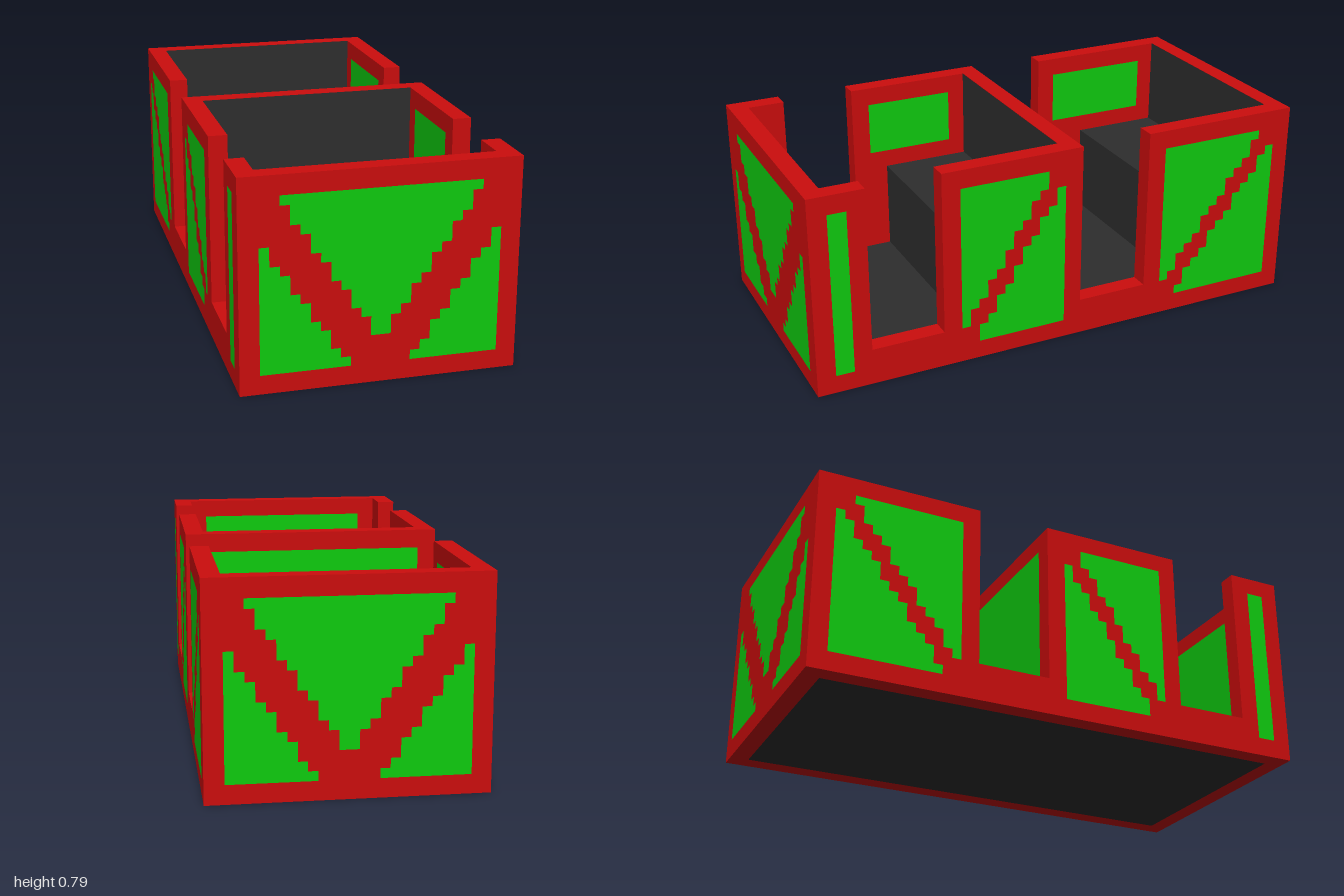
import * as THREE from 'three';

const H = 1 / 28; // half of one wall thickness; all sizes below are counted in it
const SKIN = 0.002; // how far painted faces sit off the wall

export function createModel() {
  const mat = (name, color) => {
    const m = new THREE.MeshStandardMaterial({ color });
    m.name = name;
    return m;
  };
  const red = mat('red frame', 0xcc0d0d);
  const green = mat('green panel', 0x0fcc0f);
  const dark = mat('dark lining', 0x2e2e2e);

  const cart = new THREE.Group();
  cart.name = 'openCart';

  const add = (name, geometry, material) => {
    const mesh = new THREE.Mesh(geometry, material);
    mesh.name = name;
    cart.add(mesh);
    return mesh;
  };

  const box = (name, x0, x1, y0, y1, z0, z1, material) => {
    const g = new THREE.BoxGeometry((x1 - x0) * H, (y1 - y0) * H, (z1 - z0) * H);
    g.translate(((x0 + x1) / 2) * H, ((y0 + y1) / 2) * H, ((z0 + z1) / 2) * H);
    return add(name, g, material);
  };

  const shapeOf = (pts) => new THREE.Shape(pts.map(([a, b]) => new THREE.Vector2(a * H, b * H)));

  // Flat painted face. Points are [x or z, y]; 'at' is the wall plane, 'dir' its outward axis.
  const face = (name, pts, dir, at, material) => {
    const flip = dir === '-z' || dir === '+x' ? -1 : 1;
    const g = new THREE.ShapeGeometry(shapeOf(pts.map(([a, b]) => [a * flip, b])));
    const turn = { '+z': 0, '-z': Math.PI, '+x': Math.PI / 2, '-x': -Math.PI / 2 }[dir];
    g.rotateY(turn);
    const d = (at * H) + (dir[0] === '+' ? SKIN : -SKIN);
    if (dir[1] === 'z') g.translate(0, 0, d);
    else g.translate(d, 0, 0);
    return add(name, g, material);
  };

  const rect = (a0, a1, b0, b1) => [[a0, b0], [a1, b0], [a1, b1], [a0, b1]];

  // Stepped edge going down from (s0, y0) to (s1, y1), one column at a time
  const stairs = (s0, y0, s1, y1) => {
    const n = Math.abs(s1 - s0) + 1;
    const step = Math.sign(s1 - s0);
    const level = (i) => Math.max(2, Math.round(y0 + ((y1 - y0) * i) / n));
    const pts = [];
    for (let i = 0; i < n; i++) {
      pts.push([s0 + step * i, level(i)], [s0 + step * i, level(i + 1)]);
    }
    return pts;
  };
  const mirror = (pts) => pts.map(([a, b]) => [-a, b]);

  // End walls, divider, floor and seats
  box('frontWall', -14, 14, 0, 22, 26, 28, red);
  box('backWall', -14, 14, 0, 22, -28, -26, red);
  box('divider', -12, 12, 2, 22, -2, 0, red);
  box('floor', -12, 12, 0, 2, -26, 26, dark);
  box('rearSeat', -12, 12, 2, 12, -26, -16, dark);
  box('frontSeat', -12, 12, 2, 12, 0, 10, dark);

  // Side walls with two door openings each
  const outline = [
    [-26, 0], [26, 0], [26, 22], [22, 22], [22, 4], [14, 4], [14, 22],
    [-2, 22], [-2, 4], [-10, 4], [-10, 22], [-26, 22],
  ];
  for (const side of [-1, 1]) {
    const g = new THREE.ExtrudeGeometry(shapeOf(mirror(outline)), { depth: 2 * H, bevelEnabled: false });
    g.rotateY(Math.PI / 2);
    g.translate((side > 0 ? 12 : -14) * H, 0, 0);
    add('sideWall', g, red);
  }

  // Green panels around the V brace on both end walls
  const vEdge = stairs(-10, 20, -1, 5);
  const vCentre = [...vEdge, ...mirror(vEdge).reverse()];
  const vCorner = [[-12, 2], [-12, 15], ...stairs(-11, 14.5, -3, 1)];
  for (const [dir, at] of [['+z', 28], ['-z', -28]]) {
    face('endPanelCentre', vCentre, dir, at, green);
    face('endPanelCorner', vCorner, dir, at, green);
    face('endPanelCorner', mirror(vCorner), dir, at, green);
  }

  // Green panels on the sides, outside and inside
  const sidePanels = [
    rect(24, 26, 2, 20),
    [[12, 20], ...stairs(2, 20, 11, 4), [12, 4]],
    [[0, 2], [0, 18], ...stairs(1, 18, 10, 2)],
    [[-12, 20], ...stairs(-24, 20, -13, 4), [-12, 4]],
    [[-26, 2], [-26, 18], ...stairs(-25, 18, -14, 2)],
  ];
  const innerPanels = [rect(2, 12, 14, 20), rect(-24, -12, 14, 20)];
  for (const side of [-1, 1]) {
    const out = side > 0 ? '+x' : '-x';
    const inward = side > 0 ? '-x' : '+x';
    for (const p of sidePanels) face('sidePanel', p, out, 14 * side, green);
    for (const p of innerPanels) face('innerSidePanel', p, inward, 12 * side, green);
  }

  // Green panels facing the seats, and dark backrests behind them
  face('frontWallInnerPanel', rect(-10, 10, 4, 20), '-z', 26, green);
  face('dividerRearPanel', rect(-12, 12, 4, 20), '-z', -2, green);
  face('frontBackrest', rect(-12, 12, 12, 22), '+z', 0, dark);
  face('rearBackrest', rect(-12, 12, 12, 22), '+z', -26, dark);

  return cart;
}
